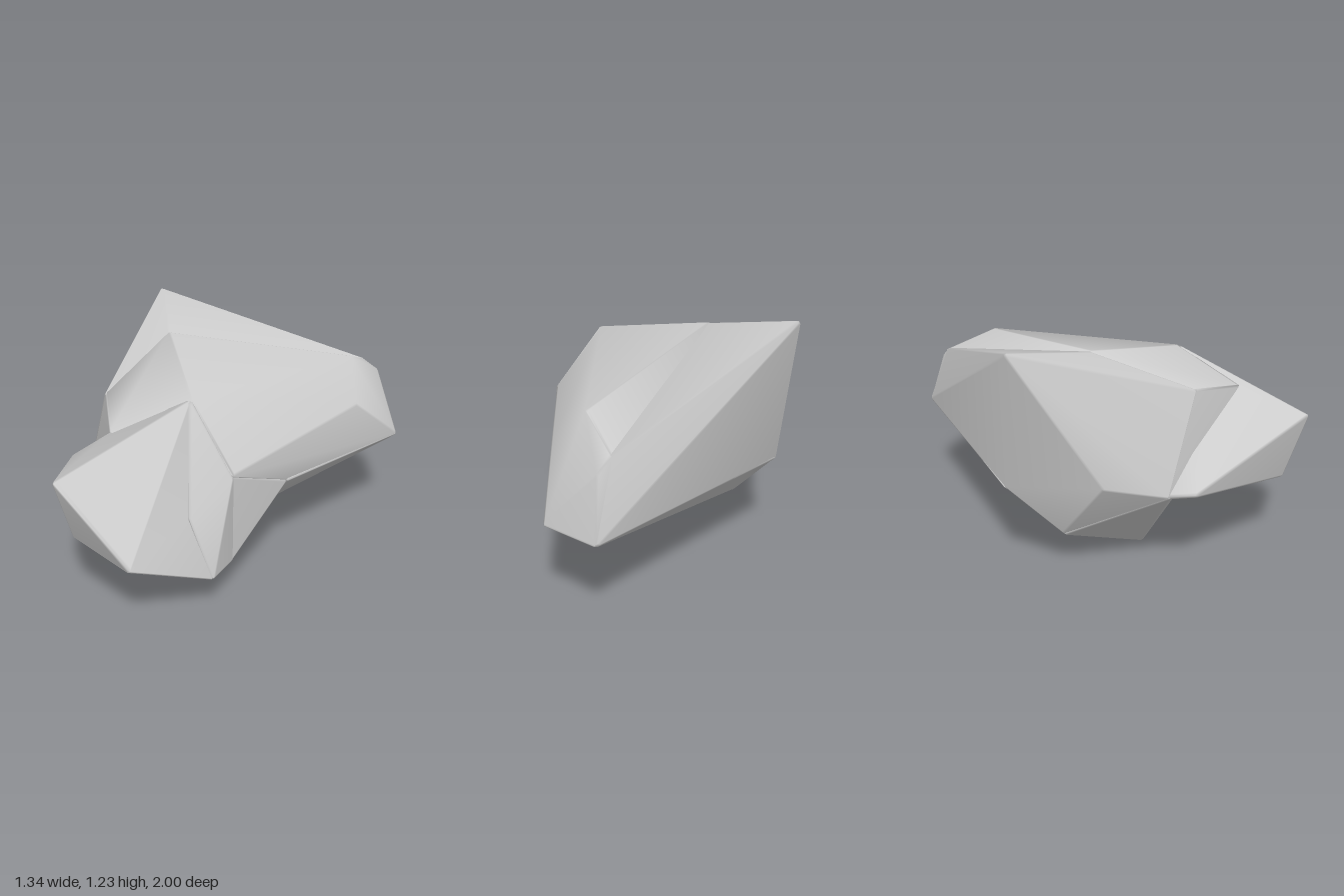
import * as THREE from 'three';
import { ConvexGeometry } from 'three/addons/geometries/ConvexGeometry.js';
import { mergeVertices } from 'three/addons/utils/BufferGeometryUtils.js';

const material = new THREE.MeshStandardMaterial({ color: 0xcccccc, roughness: 0.9 });

// Corners shared by neighbouring masses of the boulder
const topRidge = [-0.36, 1.13, -0.06];
const ridge = [0.08, 1.01, 0.38];
const brow = [-0.18, 0.89, 0.66];
const shoulder = [-0.39, 0.95, 0.43];
const cheek = [0.33, 0.69, 0.40];
const cheekDip = [0.22, 0.53, 0.61];
const frontHeel = [0.33, 0.21, 0.57];
const flank = [0.42, 0.53, 0.03];
const hip = [0.33, 0.22, 0.41];
const leftHollow = [-0.61, 0.50, 0.30];
const leftFoot = [-0.48, 0.23, -0.20];
const rightFoot = [0.17, 0.25, -0.11];
const backTop = [0.40, 0.88, -0.87];
const backTip = [0.51, 0.55, -1.0];
const backSide = [0.67, 0.54, -0.76];
const backLeft = [-0.57, 0.53, -0.47];

// Convex chunk with slightly worn edges: every corner becomes a tiny ball
function chunk(name, corners, wear = 0.015) {
  const points = corners.map((c) => new THREE.Vector3(...c));
  const centre = points.reduce((s, p) => s.add(p), new THREE.Vector3()).divideScalar(points.length);
  const ball = mergeVertices(new THREE.IcosahedronGeometry(wear, 0).deleteAttribute('uv').deleteAttribute('normal'));
  const offsets = ball.getAttribute('position');
  const cloud = [];
  for (const p of points) {
    const inset = p.clone().addScaledVector(p.clone().sub(centre).normalize(), -wear);
    for (let i = 0; i < offsets.count; i++) {
      cloud.push(new THREE.Vector3().fromBufferAttribute(offsets, i).add(inset));
    }
  }
  let geometry = new ConvexGeometry(cloud);
  geometry.deleteAttribute('normal');
  geometry = mergeVertices(geometry, 1e-5);
  geometry.computeVertexNormals();
  const mesh = new THREE.Mesh(geometry, material);
  mesh.name = name;
  return mesh;
}

export function createModel() {
  const rock = new THREE.Group();
  rock.name = 'rock';

  // Long main mass, running from the brow to the blunt back end
  rock.add(chunk('mainMass', [
    topRidge, ridge, brow, shoulder, cheek, flank, leftHollow,
    backTop, backTip, backSide, backLeft,
    [0.44, 0.985, -0.62],
    [0.47, 0.82, -0.91],
    [0.56, 0.79, -0.47],
    [0.16, 0.34, -0.14],
    [-0.42, 0.32, -0.22],
  ]));

  // Tall peak on the left, falling steeply towards the back
  rock.add(chunk('leftPeak', [
    topRidge, shoulder, leftHollow, leftFoot, backTop, backTip, backLeft,
    [-0.667, 1.225, -0.43],
    [-0.655, 0.56, 0],
  ]));

  // Rim under the right flank, beside the shallow hollow of the underside
  rock.add(chunk('undersideRim', [rightFoot, flank, backSide, backTip], 0.01));

  // Wedge that reaches the ground
  rock.add(chunk('base', [
    leftHollow, leftFoot, rightFoot, hip, flank, cheek,
    [-0.16, 0, 0.19],
    [0.14, 0.09, 0.37],
    [-0.04, 0.30, 0.43],
  ]));

  // Overhanging front block, with a shallow valley down its right side
  rock.add(chunk('frontBlock', [
    ridge, brow, cheekDip, frontHeel, hip, leftHollow,
    [-0.24, 0.76, 1.0],
    [0.14, 0.40, 0.96],
    [-0.24, 0.43, 0.90],
    [-0.65, 0.53, 0.42],
  ]));
  rock.add(chunk('frontCheek', [ridge, cheek, cheekDip, frontHeel, hip]));

  return rock;
}
